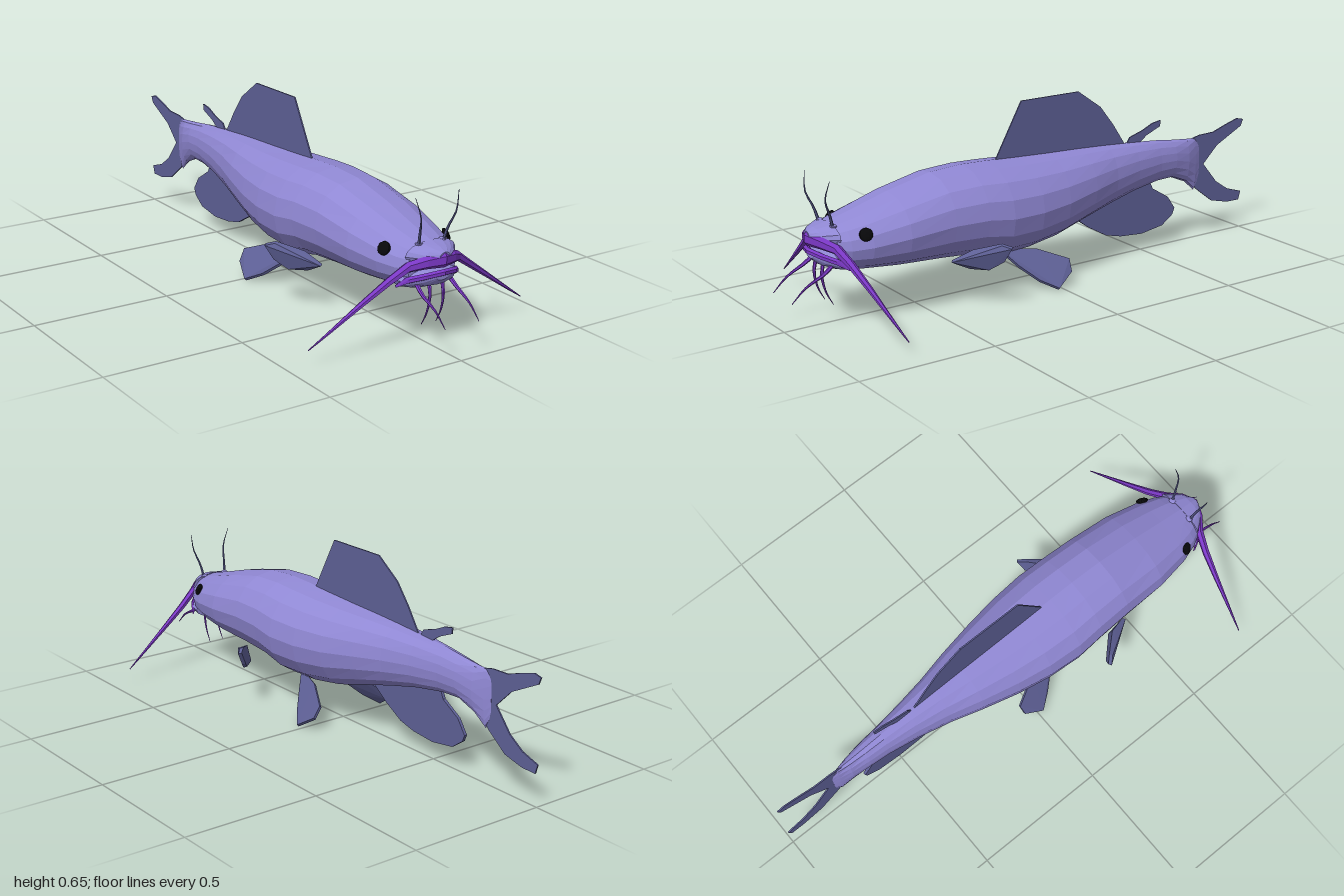
import * as THREE from 'three';
import { ConvexGeometry } from 'three/addons/geometries/ConvexGeometry.js';

const V = (x, y, z) => new THREE.Vector3(x, y, z);
const mat = (name, color, extra = {}) => {
  const m = new THREE.MeshStandardMaterial({ color, flatShading: true, ...extra });
  m.name = name;
  return m;
};

// Closed skin over a list of rings (arrays of points), capped at both ends
function loft(rings) {
  const n = rings[0].length, pos = [], idx = [];
  rings.forEach(r => r.forEach(p => pos.push(p.x, p.y, p.z)));
  for (let i = 0; i < rings.length - 1; i++) {
    for (let k = 0; k < n; k++) {
      const a = i * n + k, b = i * n + (k + 1) % n;
      idx.push(a, b, a + n, b, b + n, a + n);
    }
  }
  [0, rings.length - 1].forEach((i, end) => {
    const c = V(0, 0, 0);
    rings[i].forEach(p => c.addScaledVector(p, 1 / n));
    const ci = pos.length / 3;
    pos.push(c.x, c.y, c.z);
    for (let k = 0; k < n; k++) {
      const a = i * n + k, b = i * n + (k + 1) % n;
      if (end) idx.push(ci, a, b); else idx.push(ci, b, a);
    }
  });
  const g = new THREE.BufferGeometry();
  g.setAttribute('position', new THREE.Float32BufferAttribute(pos, 3));
  g.setIndex(idx);
  const flat = g.toNonIndexed();
  flat.computeVertexNormals();
  return flat;
}

// Cross-section of the trunk or a jaw: [z, top, bottom, half width]
function section([z, top, bottom, w], n = 16) {
  const ring = [], mid = (top + bottom) / 2, h = (top - bottom) / 2;
  for (let k = 0; k < n; k++) {
    const a = (k / n) * Math.PI * 2, s = Math.sin(a), c = Math.cos(a);
    ring.push(V(w * Math.sign(s) * Math.abs(s) ** 0.92, mid + h * c, z));
  }
  return ring;
}

// Band running from +x to -x, mirrored from [x, y, z, half height, half depth]
function band(half) {
  const full = [...half, ...half.slice(0, -1).reverse().map(([x, ...r]) => [-x, ...r])];
  return loft(full.map(([x, y, z, ry, rz]) => Array.from({ length: 6 }, (_, k) => {
    const a = (k / 6) * Math.PI * 2;
    return V(x, y + ry * Math.cos(a), z - rz * Math.sin(a));
  })));
}

// Tapering feeler along a curve
function feeler(points, r) {
  const curve = new THREE.CatmullRomCurve3(points), seg = 8, sides = 6;
  const g = new THREE.TubeGeometry(curve, seg, r, sides);
  const p = g.attributes.position, v = V(0, 0, 0);
  for (let i = 0; i < p.count; i++) {
    const t = Math.floor(i / (sides + 1)) / seg, c = curve.getPointAt(t);
    v.fromBufferAttribute(p, i).sub(c).multiplyScalar(1 - 0.85 * t).add(c);
    p.setXYZ(i, v.x, v.y, v.z);
  }
  g.computeVertexNormals();
  return g;
}

// Upright fin from a [z, y] outline
function midFin(outline, depth) {
  const g = new THREE.ExtrudeGeometry(
    new THREE.Shape(outline.map(([z, y]) => new THREE.Vector2(z, y))), { depth, bevelEnabled: false });
  return g.translate(0, 0, -depth / 2).rotateY(-Math.PI / 2);
}

// Paired fin: a slab around outline points, thickened along a direction
function sideFin(points, side, thick) {
  const all = [];
  points.forEach(([x, y, z]) => [1, -1].forEach(s =>
    all.push(V(side * (x + s * thick[0]), y + s * thick[1], z + s * thick[2]))));
  return new ConvexGeometry(all);
}

export function createModel() {
  const root = new THREE.Group();
  root.name = 'catfish';
  const skin = mat('lavender skin', 0x9088d4);
  const finMat = mat('slate fin', 0x5e6096, { side: THREE.DoubleSide });
  const lipMat = mat('violet lip', 0x7b38c6);
  const eyeMat = mat('black eye', 0x08080a);
  const add = (name, g, m) => {
    const mesh = new THREE.Mesh(g, m);
    mesh.name = name;
    root.add(mesh);
    return mesh;
  };

  // Trunk, front to tail
  add('body', loft([
    [0.84, 0.352, 0.205, 0.098], [0.8, 0.363, 0.19, 0.12], [0.73, 0.382, 0.18, 0.143],
    [0.6, 0.42, 0.168, 0.166], [0.43, 0.458, 0.158, 0.174], [0.3, 0.465, 0.148, 0.18],
    [0.2, 0.462, 0.125, 0.185], [0.07, 0.455, 0.128, 0.175], [-0.06, 0.449, 0.147, 0.153],
    [-0.2, 0.444, 0.185, 0.122], [-0.32, 0.438, 0.215, 0.09], [-0.44, 0.43, 0.243, 0.066],
    [-0.56, 0.42, 0.262, 0.048], [-0.64, 0.41, 0.264, 0.04], [-0.71, 0.403, 0.235, 0.028],
    [-0.755, 0.4, 0.195, 0.013], [-0.78, 0.37, 0.235, 0.003],
  ].map(s => section(s))), skin);

  // Jaws
  add('upperJaw', loft([
    [0.905, 0.335, 0.295, 0.022], [0.88, 0.345, 0.283, 0.06], [0.83, 0.356, 0.275, 0.1],
  ].map(s => section(s))), skin);
  add('lowerJaw', loft([
    [0.895, 0.266, 0.24, 0.025], [0.87, 0.268, 0.217, 0.07], [0.83, 0.27, 0.2, 0.108], [0.79, 0.27, 0.19, 0.115],
  ].map(s => section(s))), skin);

  // Upper lip drawn out into the long whiskers
  add('upperLipAndWhiskers', band([
    [0.43, 0.058, 0.78, 0.002, 0.002], [0.36, 0.106, 0.792, 0.006, 0.005],
    [0.25, 0.183, 0.81, 0.011, 0.01], [0.16, 0.245, 0.827, 0.015, 0.014],
    [0.1, 0.286, 0.845, 0.018, 0.016], [0.055, 0.303, 0.88, 0.022, 0.014],
    [0, 0.31, 0.903, 0.026, 0.012],
  ]), lipMat);
  add('lowerLip', band([
    [0.118, 0.215, 0.81, 0.004, 0.006], [0.1, 0.24, 0.84, 0.011, 0.012],
    [0.06, 0.256, 0.878, 0.011, 0.012], [0, 0.265, 0.898, 0.011, 0.012],
  ]), lipMat);

  // Middle fins
  add('dorsalFin', midFin([[0.17, 0.44], [0.05, 0.655], [-0.2, 0.655], [-0.3, 0.585],
    [-0.36, 0.51], [-0.42, 0.42]], 0.005), finMat);
  add('adiposeFin', midFin([[-0.42, 0.42], [-0.44, 0.45], [-0.5, 0.468], [-0.545, 0.488],
    [-0.585, 0.495], [-0.582, 0.472], [-0.52, 0.447], [-0.48, 0.42]], 0.005), finMat);
  add('tailFin', midFin([[-0.72, 0.395], [-0.78, 0.408], [-0.85, 0.41], [-0.91, 0.43], [-0.97, 0.447],
    [-1, 0.44], [-0.99, 0.415], [-0.93, 0.385], [-0.87, 0.355], [-0.803, 0.29], [-0.87, 0.21],
    [-0.93, 0.17], [-1, 0.148], [-0.99, 0.115], [-0.93, 0.116], [-0.85, 0.135], [-0.77, 0.195],
    [-0.72, 0.25]], 0.005), finMat);
  add('analFin', midFin([[-0.16, 0.2], [-0.25, 0.135], [-0.33, 0.09], [-0.4, 0.073], [-0.5, 0.065],
    [-0.6, 0.08], [-0.65, 0.115], [-0.66, 0.14], [-0.625, 0.19], [-0.55, 0.235], [-0.53, 0.28],
    [-0.3, 0.26]], 0.011), finMat);

  [1, -1].forEach(s => {
    const side = s > 0 ? 'left' : 'right';
    // Paired fins
    add(side + 'PectoralFin', sideFin([[0.15, 0.18, 0.44], [0.172, 0.21, 0.37], [0.24, 0.236, 0.295],
      [0.265, 0.226, 0.27], [0.238, 0.175, 0.285], [0.205, 0.145, 0.325], [0.155, 0.145, 0.37]],
    s, [0.005, -0.002, 0.004]), finMat);
    add(side + 'PelvicFin', sideFin([[0.05, 0.145, 0.18], [0.09, 0.132, 0.05], [0.145, 0.09, -0.055],
      [0.168, 0.048, -0.05], [0.191, 0.006, 0.02], [0.15, 0.035, 0.075], [0.1, 0.085, 0.13]],
    s, [0.004, 0.004, 0]), finMat);

    // Eyes
    const eye = add(side + 'Eye', new THREE.SphereGeometry(0.023, 12, 8), eyeMat);
    eye.scale.set(1, 1, 0.45);
    eye.position.set(s * 0.125, 0.327, 0.752);
    eye.lookAt(s * 0.95, 0.78, 1.15);

    // Feelers on the nose and chin
    add(side + 'NoseFeeler', feeler([V(s * 0.048, 0.335, 0.83), V(s * 0.055, 0.39, 0.845),
      V(s * 0.07, 0.45, 0.868), V(s * 0.086, 0.515, 0.858)], 0.006), finMat);
    add(side + 'NostrilRidge', new THREE.SphereGeometry(0.012, 8, 6)
      .scale(1.2, 0.6, 1).translate(s * 0.046, 0.349, 0.83), skin);
    add(side + 'OuterChinFeeler', feeler([V(s * 0.066, 0.222, 0.85), V(s * 0.069, 0.2, 0.88),
      V(s * 0.068, 0.165, 0.95), V(s * 0.067, 0.12, 1)], 0.008), lipMat);
    add(side + 'InnerChinFeeler', feeler([V(s * 0.026, 0.225, 0.86), V(s * 0.027, 0.18, 0.868),
      V(s * 0.029, 0.12, 0.855), V(s * 0.03, 0.073, 0.83)], 0.007), lipMat);
  });
  return root;
}
